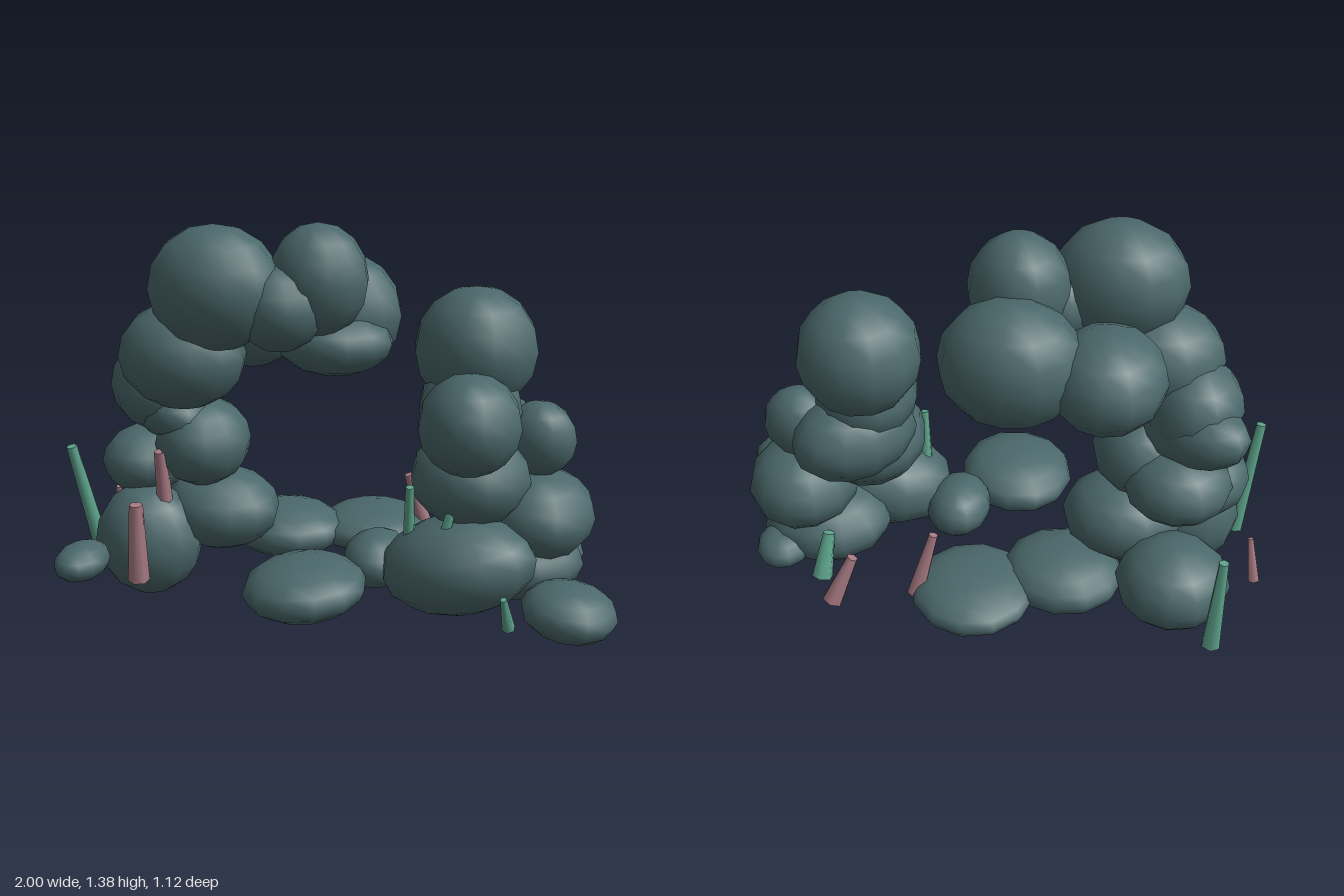
import * as THREE from 'three';

const stoneMat = new THREE.MeshStandardMaterial({ color: 0x4b686b });
const greenMat = new THREE.MeshStandardMaterial({ color: 0x5fa68d });
const pinkMat = new THREE.MeshStandardMaterial({ color: 0xa87b84 });

const ball = new THREE.SphereGeometry(1, 12, 8);

// Each boulder: centre x, y, z, radii x, y, z, optional tilt about z, optional turn about y
const archLeft = [
  [-0.71, 0.21, 0.16, 0.2, 0.21, 0.18],
  [-0.69, 0.225, -0.24, 0.2, 0.15, 0.2],
  [-0.49, 0.3, 0.0, 0.22, 0.15, 0.2],
  [-0.76, 0.48, 0.05, 0.16, 0.125, 0.18],
  [-0.67, 0.53, -0.07, 0.19, 0.13, 0.19],
  [-0.53, 0.57, 0.05, 0.17, 0.16, 0.19],
  [-0.69, 0.71, 0.01, 0.255, 0.125, 0.15, -0.2, -Math.PI / 4],
  [-0.7, 0.775, 0.04, 0.17, 0.175, 0.19],
  [-0.56, 0.91, 0.13, 0.23, 0.19, 0.205],
];
const archTop = [
  [-0.41, 1.165, 0.17, 0.235, 0.215, 0.2],
  [-0.09, 1.185, 0.03, 0.175, 0.195, 0.17],
  [-0.2, 1.1, 0.12, 0.16, 0.15, 0.16],
  [-0.1, 1.03, -0.18, 0.245, 0.22, 0.21],
  [-0.41, 0.985, -0.15, 0.2, 0.17, 0.22],
  [-0.07, 0.95, -0.08, 0.21, 0.12, 0.2],
];
const archRight = [
  [0.44, 0.25, 0.12, 0.275, 0.17, 0.21, 0.2],
  [0.6, 0.21, -0.1, 0.24, 0.14, 0.22],
  [0.67, 0.38, -0.11, 0.2, 0.16, 0.225],
  [0.45, 0.53, 0.0, 0.21, 0.17, 0.22],
  [0.46, 0.63, -0.13, 0.235, 0.16, 0.17, 0, Math.PI / 4],
  [0.66, 0.65, -0.12, 0.13, 0.135, 0.11],
  [0.465, 0.75, 0.11, 0.175, 0.175, 0.19],
  [0.43, 0.76, -0.05, 0.18, 0.17, 0.2],
  [0.43, 0.955, -0.11, 0.215, 0.215, 0.215],
];
const floorStones = [
  [-0.05, 0.18, 0.31, 0.215, 0.1, 0.22, 0.06],
  [0.0, 0.155, -0.34, 0.22, 0.08, 0.22],
  [-0.3, 0.165, -0.2, 0.22, 0.1, 0.2],
  [0.13, 0.2, 0.05, 0.12, 0.1, 0.15],
  [0.72, 0.18, -0.26, 0.1, 0.065, 0.115],
  [0.84, 0.19, 0.235, 0.16, 0.09, 0.155, -0.1],
  [-0.83, 0.22, 0.44, 0.09, 0.065, 0.12],
];

// Each spike: base point, tip point, base radius, tip radius
const greenSpikes = [
  [[-0.905, 0.14, 0.17], [-0.95, 0.57, 0.26], 0.029, 0.019],
  [[-0.84, 0.14, -0.44], [-0.845, 0.5, -0.42], 0.034, 0.017],
  [[0.26, 0.14, 0.1], [0.28, 0.53, 0.17], 0.028, 0.015],
  [[0.36, 0.14, 0.2], [0.435, 0.52, 0.17], 0.028, 0.015],
  [[0.66, 0.14, 0.32], [0.65, 0.27, 0.38], 0.022, 0.011],
  [[0.55, 0.14, -0.36], [0.53, 0.3, -0.3], 0.038, 0.022],
  [[0.8, 0.14, -0.02], [0.76, 0.2, -0.01], 0.04, 0.02],
];
const pinkSpikes = [
  [[-0.65, 0.14, 0.37], [-0.64, 0.43, 0.38], 0.038, 0.024],
  [[-0.63, 0.14, 0.16], [-0.625, 0.57, 0.21], 0.036, 0.022],
  [[-0.98, 0.14, -0.1], [-0.95, 0.3, -0.06], 0.022, 0.011],
  [[0.2, 0.14, -0.38], [0.14, 0.38, -0.33], 0.033, 0.017],
  [[0.48, 0.14, -0.47], [0.41, 0.31, -0.42], 0.038, 0.02],
];

function boulders(name, list) {
  const group = new THREE.Group();
  group.name = name;
  list.forEach(([x, y, z, rx, ry, rz, tilt = 0, turn = 0], i) => {
    const mesh = new THREE.Mesh(ball, stoneMat);
    mesh.name = `${name}Boulder${i + 1}`;
    mesh.position.set(x, y, z);
    mesh.scale.set(rx, ry, rz);
    mesh.rotation.set(0, turn, tilt);
    group.add(mesh);
  });
  return group;
}

function spikes(name, list, material) {
  const group = new THREE.Group();
  group.name = name;
  list.forEach(([from, to, r0, r1], i) => {
    const a = new THREE.Vector3(...from);
    const b = new THREE.Vector3(...to);
    const mesh = new THREE.Mesh(new THREE.CylinderGeometry(r1, r0, a.distanceTo(b), 6), material);
    mesh.name = `${name}${i + 1}`;
    mesh.position.copy(a).add(b).multiplyScalar(0.5);
    mesh.quaternion.setFromUnitVectors(new THREE.Vector3(0, 1, 0), b.sub(a).normalize());
    group.add(mesh);
  });
  return group;
}

export function createModel() {
  const model = new THREE.Group();
  model.name = 'rockArch';
  model.add(
    boulders('leftSidePillar', archLeft),
    boulders('archTop', archTop),
    boulders('rightSidePillar', archRight),
    boulders('floorStones', floorStones),
    spikes('greenSpike', greenSpikes, greenMat),
    spikes('pinkSpike', pinkSpikes, pinkMat),
  );
  return model;
}
